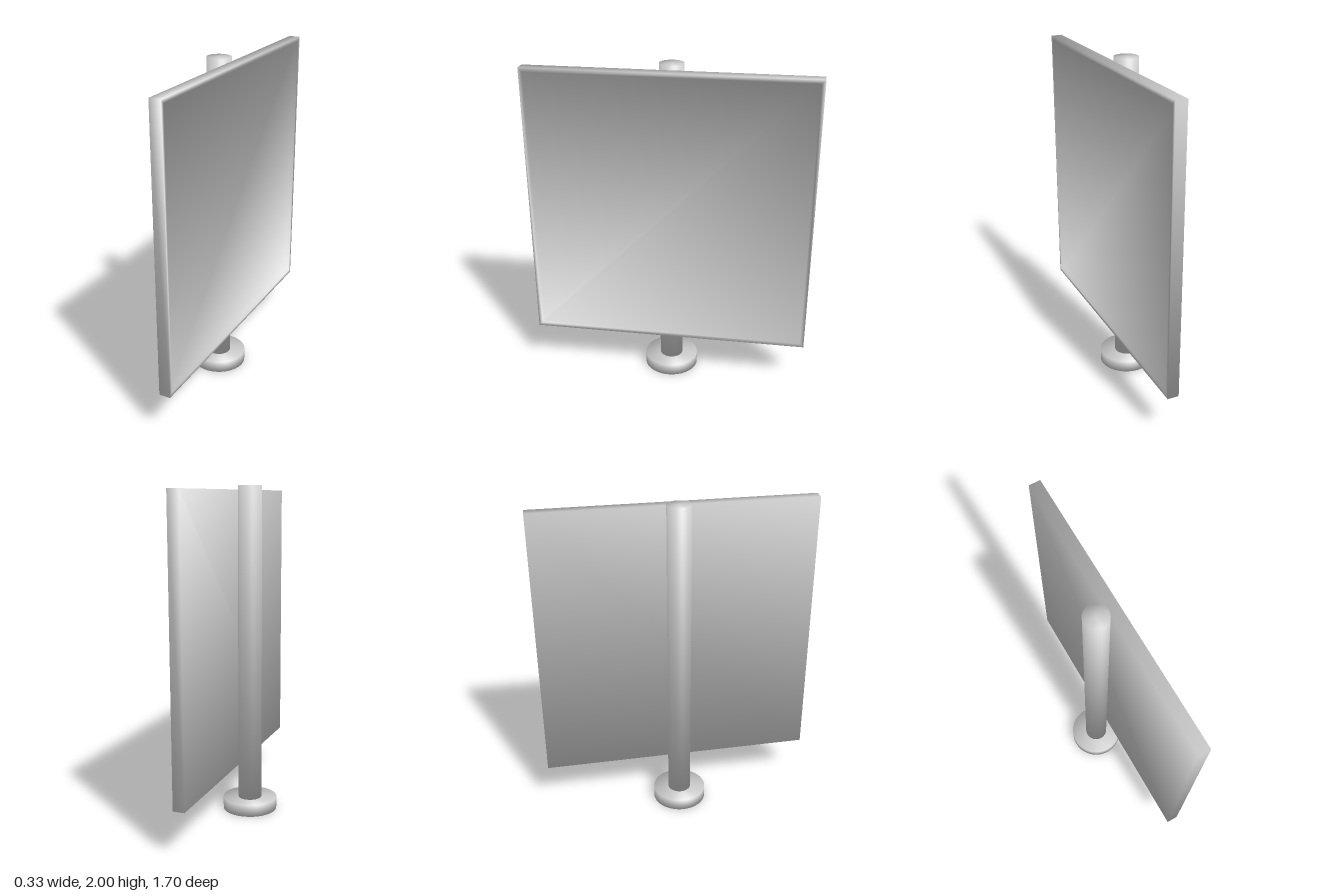
import * as THREE from 'three';

const grey = new THREE.MeshStandardMaterial({ color: 0xcccccc });

// Closed upright cylinder whose rims shade smoothly into the caps
function softCylinder(name, radius, bottom, top) {
  const profile = [[0, bottom], [radius, bottom], [radius, top], [0, top]]
    .map(([r, y]) => new THREE.Vector2(r, y));
  const geometry = new THREE.LatheGeometry(profile, 48);
  const position = geometry.attributes.position;
  const normal = new THREE.Vector3();
  for (let i = 0; i < position.count; i++) {
    normal.set(position.getX(i) / radius, position.getY(i) === position.getY(0) ? -1 : 1, position.getZ(i) / radius);
    normal.normalize();
    geometry.attributes.normal.setXYZ(i, normal.x, normal.y, normal.z);
  }
  const mesh = new THREE.Mesh(geometry, grey);
  mesh.name = name;
  return mesh;
}

// Square panel from loops [x, halfSize, normalX, normalOut], back to front,
// with one shared normal per corner
function softPanel(name, loops, centreY) {
  const positions = [];
  const normals = [];
  const index = [];
  const corners = [[-1, 1], [-1, -1], [1, -1], [1, 1]]; // y, z signs
  for (const [x, half, nx, out] of loops) {
    for (const [sy, sz] of corners) {
      positions.push(x, centreY + sy * half, sz * half);
      normals.push(nx, out * sy, out * sz);
    }
  }
  for (let i = 0; i < loops.length - 1; i++) {
    for (let k = 0; k < 4; k++) {
      const a = i * 4 + k;
      const b = i * 4 + (k + 1) % 4;
      index.push(a, b, b + 4, a, b + 4, a + 4);
    }
  }
  const last = (loops.length - 1) * 4;
  index.push(0, 2, 1, 0, 3, 2); // back face
  index.push(last, last + 1, last + 2, last, last + 2, last + 3); // recessed face
  const geometry = new THREE.BufferGeometry();
  geometry.setAttribute('position', new THREE.Float32BufferAttribute(positions, 3));
  geometry.setAttribute('normal', new THREE.Float32BufferAttribute(normals, 3));
  geometry.setIndex(index);
  geometry.normalizeNormals();
  const mesh = new THREE.Mesh(geometry, grey);
  mesh.name = name;
  return mesh;
}

export function createModel() {
  const group = new THREE.Group();
  group.name = 'panelOnStand';

  // Round foot and tall post
  group.add(softCylinder('foot', 0.167, 0, 0.073));
  group.add(softCylinder('post', 0.072, 0.073, 2));

  // Framed panel on the post's left side, its face sunk behind a thin rim
  group.add(softPanel('framedPanel', [
    [0.069, 0.849, -1, 1],
    [0.138, 0.849, 1, 1],
    [0.138, 0.826, 1, -1],
    [0.118, 0.826, 1, -1],
  ], 1.127));

  return group;
}
